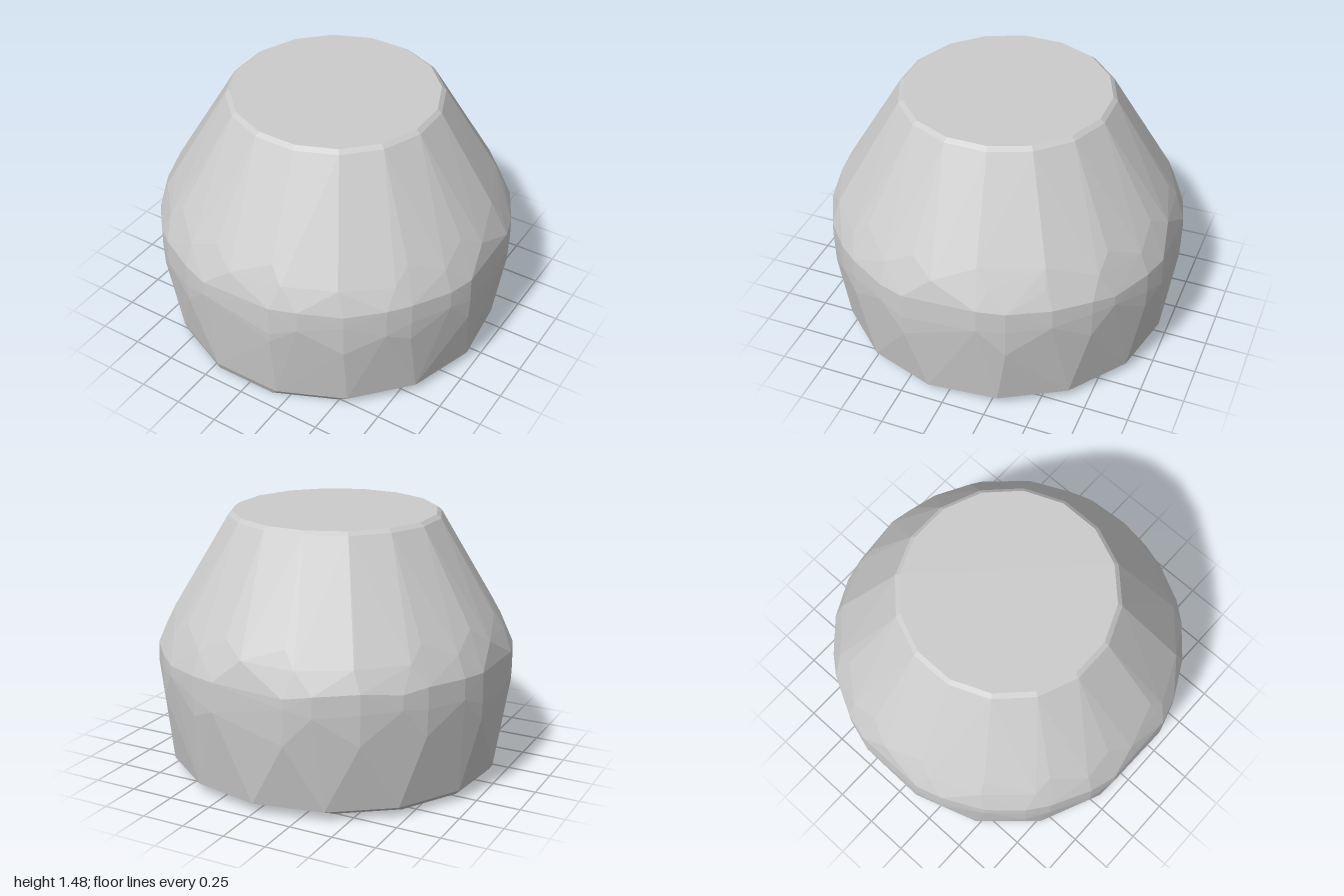
import * as THREE from 'three';
import { ConvexGeometry } from 'three/addons/geometries/ConvexGeometry.js';

// small seeded random in -1..1, for the rough-hewn facets
function makeRandom(seed) {
  let s = seed;
  return () => {
    s = (s * 16807) % 2147483647;
    return (s / 2147483647) * 2 - 1;
  };
}

export function createModel() {
  const rand = makeRandom(77);
  const points = [];
  const clamp = (v) => THREE.MathUtils.clamp(v, -1, 1);

  // adds one ring of hull points; the four sides are cut flat at +-1
  function ring(y, radius, degrees, wobble = 0, cx = 0, cz = 0) {
    for (const d of degrees) {
      const a = THREE.MathUtils.degToRad(d);
      points.push(new THREE.Vector3(
        clamp(cx + radius * Math.cos(a)),
        y + wobble * rand(),
        clamp(cz + radius * Math.sin(a))));
    }
  }
  const even = (n, offset) => Array.from({ length: n }, (_, i) => offset + (i * 360) / n);

  // uneven corners of the belt, repeated in each quarter
  const belt = [];
  for (let q = 0; q < 4; q++) {
    for (const d of [12, 20.7, 34.6, 42.6, 55.4, 69.3, 78]) belt.push(q * 90 + d);
  }

  // base, slightly off centre, and its bevel
  ring(0, 0.88, even(15, 6), 0, -0.03, 0.05);
  ring(0.06, 0.96, even(15, 6));
  // faceted belt
  ring(0.48, 1.017, belt.filter((_, i) => i % 2 === 0), 0.04);
  ring(0.6, 1.021, belt, 0.05);
  ring(0.72, 1.018, belt, 0.02);
  ring(0.85, 0.968, even(20, 3), 0.012);
  ring(0.94, 0.917, even(16, 11.25), 0.01);
  // tapered shoulder up to the bevelled flat top
  ring(1.46, 0.605, even(16, 11.25));
  ring(1.48, 0.58, even(16, 11.25));

  const stone = new THREE.Mesh(
    new ConvexGeometry(points),
    new THREE.MeshStandardMaterial({ color: 0xcccccc, flatShading: true }));
  stone.name = 'taperedStone';

  const group = new THREE.Group();
  group.name = 'stoneBlock';
  group.add(stone);
  return group;
}
